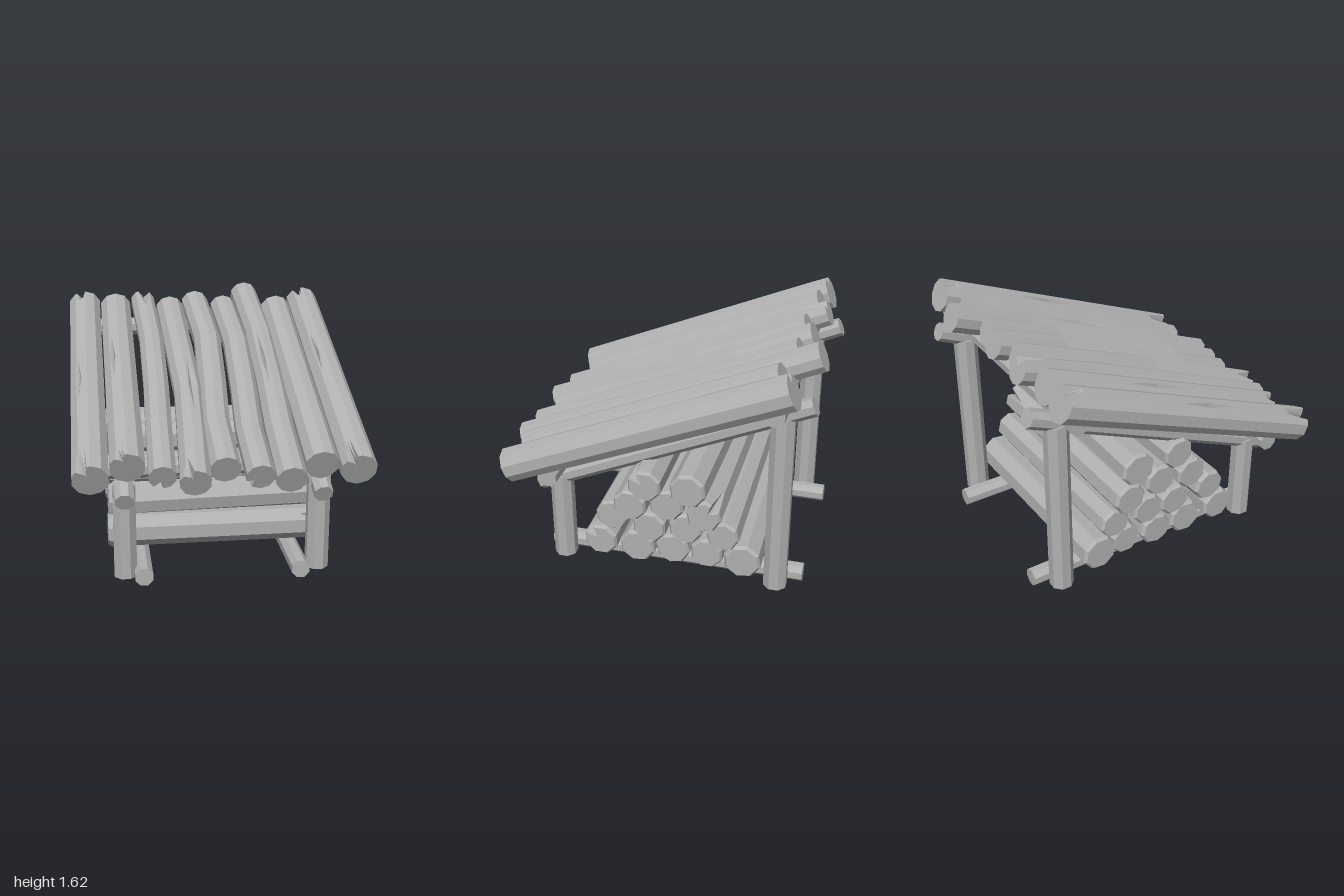
import * as THREE from 'three';

const wood = new THREE.MeshStandardMaterial({ color: 0xb0b0b0 });
wood.name = 'wood';

const rad = (deg) => (deg * Math.PI) / 180;

// Piecewise linear lookup in [[t, value], ...]
function lookup(table, t) {
  for (let i = 1; i < table.length; i++) {
    const [t0, v0] = table[i - 1], [t1, v1] = table[i];
    if (t <= t1) return v0 + ((v1 - v0) * (t - t0)) / (t1 - t0);
  }
  return table[table.length - 1][1];
}

// Faceted log from one point to another.
// bend: sideways offsets along the length; bevel: length of the end chamfer;
// cuts: [angle in degrees, half width in radians, position 0..1, half length, depth]
function makeLog(name, from, to, radius, { sides = 8, phase = Math.PI / 8, bend = null, bevel = 0, cuts = [] } = {}) {
  const start = new THREE.Vector3(...from);
  const axis = new THREE.Vector3(...to).sub(start);
  const length = axis.length();
  const dir = axis.clone().normalize();
  const up = Math.abs(dir.y) > 0.9 ? new THREE.Vector3(0, 0, 1) : new THREE.Vector3(0, 1, 0);
  const u = up.cross(dir).normalize();
  const v = dir.clone().cross(u);
  const step = (2 * Math.PI) / sides;
  const wrap = (a) => ((a % (2 * Math.PI)) + 2 * Math.PI) % (2 * Math.PI);

  // Stations along the log and angles around it
  const stations = [0, 1];
  const angles = [];
  for (let k = 0; k < sides; k++) angles.push(wrap(phase + k * step));
  if (bend) bend.forEach(([t]) => stations.push(t));
  if (bevel) stations.push(bevel / length, 1 - bevel / length);
  for (const [deg, w, t, len] of cuts) {
    stations.push(t - len, t, t + len);
    angles.push(wrap(rad(deg) - w), wrap(rad(deg)), wrap(rad(deg) + w));
  }
  const tidy = (list) => list.sort((a, b) => a - b).filter((x, i) => i === 0 || x - list[i - 1] > 1e-5);
  const ts = tidy(stations.filter((t) => t >= 0 && t <= 1));
  const as = tidy(angles);

  const dentAt = (t, a) => {
    let dent = 0;
    for (const [deg, w, ct, len, depth] of cuts) {
      let da = wrap(a - rad(deg));
      if (da > Math.PI) da = 2 * Math.PI - da;
      dent = Math.max(dent, depth * (1 - Math.abs(t - ct) / len - da / w));
    }
    return dent < 1e-6 ? 0 : dent;
  };
  const centre = (t) => start.clone().addScaledVector(axis, t).addScaledVector(u, bend ? lookup(bend, t) : 0);
  const rings = ts.map((t) => as.map((a) => {
    const dent = dentAt(t, a);
    const chamfer = bevel && (t === 0 || t === 1) ? 0.87 : 1;
    const polygon = Math.cos(step / 2) / Math.cos((wrap(a - phase + 1e-9) % step) - step / 2);
    const r = radius * polygon * chamfer * (1 - dent);
    const p = centre(t).addScaledVector(u, r * Math.cos(a)).addScaledVector(v, r * Math.sin(a));
    return { p, dent };
  }));

  const positions = [];
  const tri = (...points) => points.forEach((p) => positions.push(p.x, p.y, p.z));
  const n = as.length;
  for (let j = 0; j < n; j++) {
    const k = (j + 1) % n;
    for (let i = 0; i + 1 < rings.length; i++) {
      const a = rings[i][j], b = rings[i][k], c = rings[i + 1][k], d = rings[i + 1][j];
      // Keep the diagonal off the deepest corner so cuts stay crisp
      if (Math.max(a.dent, c.dent) > Math.max(b.dent, d.dent)) {
        tri(a.p, b.p, d.p);
        tri(b.p, c.p, d.p);
      } else {
        tri(a.p, b.p, c.p);
        tri(a.p, c.p, d.p);
      }
    }
    const last = rings[rings.length - 1];
    tri(centre(0), rings[0][k].p, rings[0][j].p);
    tri(centre(1), last[j].p, last[k].p);
  }
  const geometry = new THREE.BufferGeometry();
  geometry.setAttribute('position', new THREE.Float32BufferAttribute(positions, 3));
  geometry.computeVertexNormals();
  const mesh = new THREE.Mesh(geometry, wood);
  mesh.name = name;
  return mesh;
}

function makeGroup(name, parts) {
  const group = new THREE.Group();
  group.name = name;
  group.add(...parts);
  return group;
}

// Roof logs: x, back z, front z, radius, [bend at three stations], cuts
const ROOF = [
  [-0.8, -0.86, 0.9, 0.113, null, [[120, 0.38, 1, 0.1, 0.7], [105, 0.3, 0, 0.05, 0.6], [120, 0.18, 0.545, 0.115, 0.25]]],
  [-0.58, -0.83, 0.81, 0.11, null, [[118, 0.33, 1, 0.04, 0.5], [117, 0.18, 0.43, 0.125, 0.25]]],
  [-0.38, -0.9, 0.9, 0.086, [0.03, 0.025, 0.01], [[255, 0.4, 1, 0.07, 0.6], [82, 0.5, 0, 0.1, 0.75]]],
  [-0.19, -0.8, 0.955, 0.097, [0.02, 0.04, 0.02], [[118, 0.4, 1, 0.07, 0.6], [75, 0.33, 0.555, 0.165, 0.3]]],
  [0, -0.865, 0.855, 0.096, [0.04, 0.015, -0.015], []],
  [0.2, -0.81, 0.925, 0.09, [0.035, 0.015, -0.01], [[215, 0.3, 1, 0.06, 0.5]]],
  [0.38, -0.965, 0.96, 0.096, [0.03, 0.02, 0], [[108, 0.18, 0.457, 0.145, 0.25]]],
  [0.585, -0.77, 0.85, 0.106, null, []],
  [0.8, -0.86, 0.9, 0.113, null, [[120, 0.33, 1, 0.09, 0.7], [112, 0.3, 0, 0.05, 0.6], [120, 0.18, 0.42, 0.12, 0.25]]],
];

// Firewood: z, y, radius, left-over x range, drift in z and y at the far end, cuts
const NOTCH_LEFT = [[135, 0.3, 1, 0.12, 0.7]];
const NOTCH_RIGHT = [[42, 0.33, 1, 0.14, 0.65]];
const FIREWOOD = [
  [0.35, 0.225, 0.113, -0.7, 0.72, 0.02, 0.01, NOTCH_LEFT],
  [0.11, 0.205, 0.12, -0.68, 0.7, 0.01, 0.015, []],
  [-0.13, 0.235, 0.112, -0.69, 0.71, 0.01, -0.01, []],
  [-0.35, 0.23, 0.108, -0.67, 0.7, 0.01, -0.005, []],
  [-0.58, 0.215, 0.122, -0.7, 0.71, 0.03, 0.01, []],
  [0.27, 0.42, 0.11, -0.69, 0.71, 0.03, -0.01, []],
  [0.02, 0.385, 0.112, -0.68, 0.73, 0.01, 0.01, []],
  [-0.22, 0.42, 0.11, -0.7, 0.74, 0.03, 0, []],
  [-0.455, 0.385, 0.106, -0.68, 0.72, 0.03, 0.01, []],
  [0.13, 0.56, 0.11, -0.69, 0.78, 0.02, 0.01, []],
  [-0.105, 0.59, 0.113, -0.68, 0.77, 0.02, 0.005, []],
  [-0.345, 0.555, 0.112, -0.7, 0.78, 0.02, 0, NOTCH_RIGHT],
  [0.02, 0.74, 0.11, -0.68, 0.82, 0.03, 0.01, NOTCH_LEFT],
  [-0.25, 0.74, 0.118, -0.69, 0.81, -0.01, 0.01, []],
];

export function createModel() {
  const model = new THREE.Group();
  model.name = 'woodshed';

  // Sloping roof, each log running from the back down to the front
  const roofY = (z) => 1.135 - 0.417 * z;
  model.add(makeGroup('roof', ROOF.map(([x, back, front, r, b, cuts]) => makeLog(
    'roofLog', [x, roofY(back), back], [x, roofY(front), front], r,
    { sides: 10, phase: Math.PI / 10, bend: b && [[0, 0], [0.27, b[0]], [0.55, b[1]], [0.78, b[2]], [1, 0]], cuts },
  ))));

  // Stacked firewood
  model.add(makeGroup('firewoodStack', FIREWOOD.map(([z, y, r, x0, x1, dz, dy, cuts], i) => makeLog(
    'firewoodLog', [x0, y + dy, z + dz], [x1, y, z], r,
    { phase: Math.PI / 8 + (i % 3) * 0.12, bevel: 0.02, cuts },
  ))));

  // Frame: ground rails, posts and rafters on both sides
  const frame = [];
  for (const x of [-0.6, 0.62]) {
    const railX = x < 0 ? -0.49 : 0.495;
    frame.push(
      makeLog('groundRail', [railX, 0.06, -0.945], [railX, 0.06, 0.75], 0.06),
      makeLog('frontPost', [x, 0.03, 0.63], [x, 0.64, 0.63], 0.076),
      makeLog('backPost', [x, 0.03, -0.785], [x, 1.24, -0.785], 0.078),
      makeLog('rafter', [x, 1.33, -0.965], [x, 0.565, 0.77], 0.062),
    );
  }
  // Crossbeams carrying the roof
  frame.push(
    makeLog('frontCrossbeam', [-0.85, 0.735, 0.63], [0.86, 0.735, 0.63], 0.062),
    makeLog('backCrossbeam', [-0.85, 1.345, -0.77], [0.86, 1.345, -0.77], 0.062),
  );
  model.add(makeGroup('frame', frame));
  return model;
}
